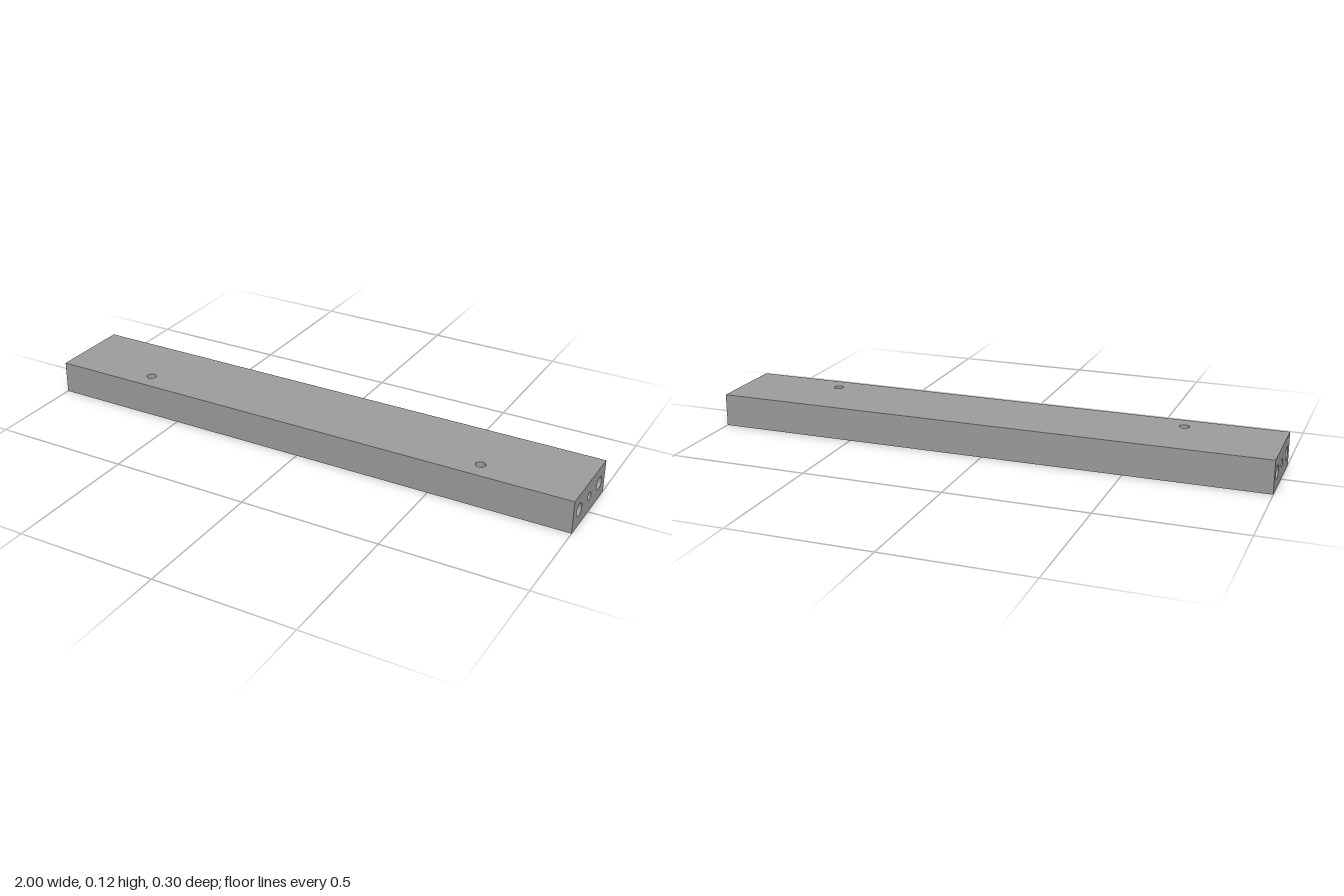
import * as THREE from 'three';

const L = 2, H = 0.117, W = 0.296;
const SEGMENTS = 32;

const outer = new THREE.MeshStandardMaterial({ color: 0x9d9d9d });
const inner = new THREE.MeshStandardMaterial({ color: 0x9d9d9d, side: THREE.BackSide });

function mesh(name, geometry, material = outer) {
  const m = new THREE.Mesh(geometry, material);
  m.name = name;
  return m;
}

// Flat face looking along +z, with flat-bottomed bores sunk behind it
function drilledFace(name, width, height, bores = []) {
  const group = new THREE.Group();
  group.name = name;
  const w = width / 2, h = height / 2;
  const shape = new THREE.Shape([
    new THREE.Vector2(-w, -h), new THREE.Vector2(w, -h),
    new THREE.Vector2(w, h), new THREE.Vector2(-w, h),
  ]);
  for (const { x, y, r, depth } of bores) {
    const hole = new THREE.Path();
    hole.absarc(x, y, r, 0, Math.PI * 2, true);
    shape.holes.push(hole);

    const wall = new THREE.CylinderGeometry(r, r, depth, SEGMENTS, 1, true);
    wall.rotateX(Math.PI / 2).translate(x, y, -depth / 2);
    const floor = new THREE.CircleGeometry(r, SEGMENTS).translate(x, y, -depth);
    group.add(mesh('boreWall', wall, inner), mesh('boreFloor', floor));
  }
  group.add(mesh(name + 'Surface', new THREE.ShapeGeometry(shape, SEGMENTS)));
  return group;
}

export function createModel() {
  const rail = new THREE.Group();
  rail.name = 'drilledRail';

  // Long sides
  const front = drilledFace('frontFace', L, H);
  front.position.set(0, H / 2, W / 2);
  const back = drilledFace('backFace', L, H);
  back.position.set(0, H / 2, -W / 2);
  back.rotation.y = Math.PI;

  // Top with two holes near the front edge, and plain underside
  const top = drilledFace('topFace', L, W,
    [-1, 1].map((s) => ({ x: s * 0.654, y: -0.08, r: 0.0175, depth: 0.07 })));
  top.position.y = H;
  top.rotation.x = -Math.PI / 2;
  const bottom = drilledFace('bottomFace', L, W);
  bottom.rotation.x = Math.PI / 2;
  rail.add(front, back, top, bottom);

  // Ends: two dowel holes either side of a screw hole
  for (const s of [-1, 1]) {
    const end = drilledFace(s > 0 ? 'leftEnd' : 'rightEnd', W, H, [
      { x: -0.094, y: 0, r: 0.0235, depth: 0.15 },
      { x: 0, y: 0, r: 0.0147, depth: 0.2 },
      { x: 0.094, y: 0, r: 0.0235, depth: 0.15 },
    ]);
    end.position.set(s * L / 2, H / 2, 0);
    end.rotation.y = s * Math.PI / 2;
    rail.add(end);
  }
  return rail;
}
